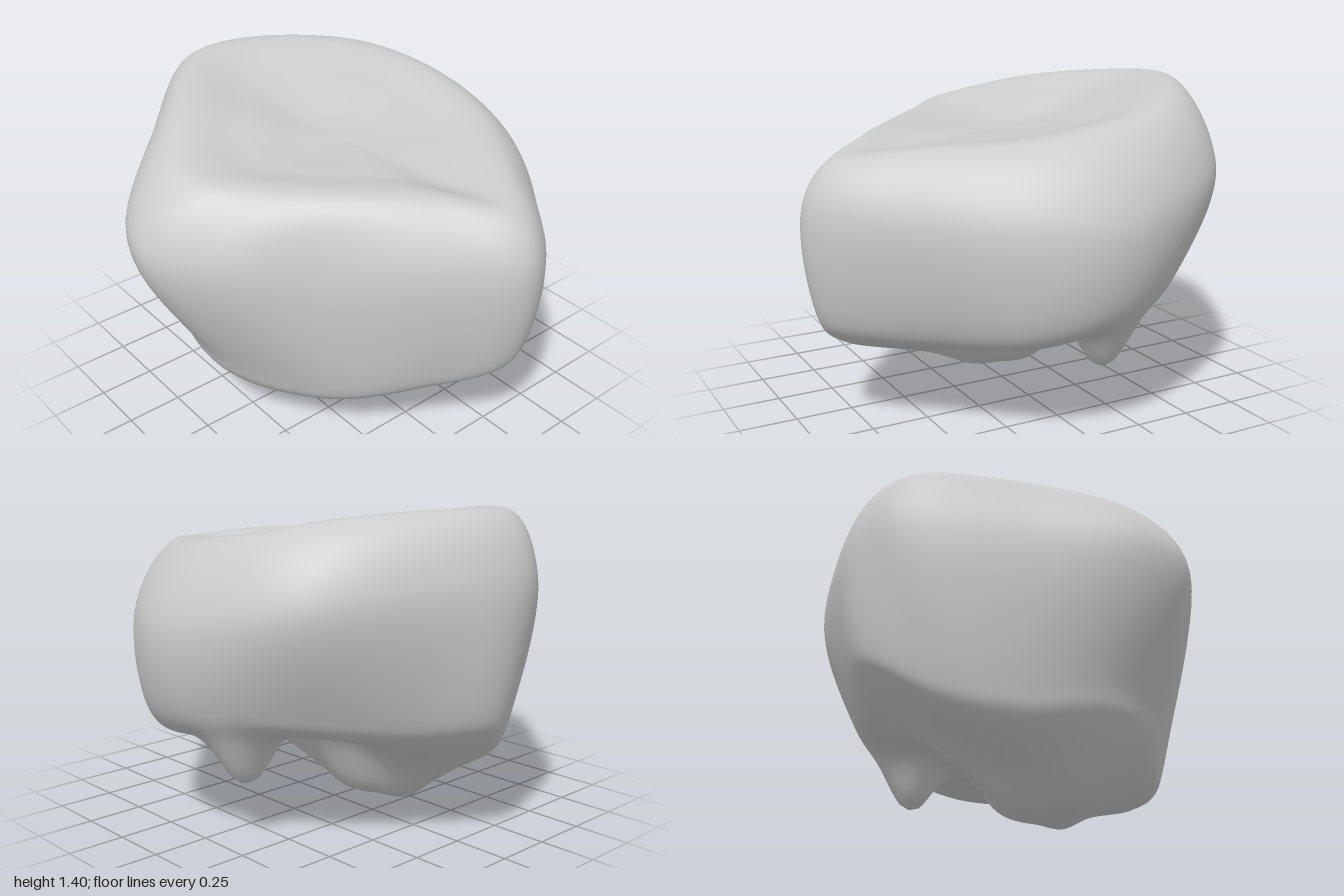
import * as THREE from 'three';

// Control rings as [x, y, z], running front -> left (+x) -> back -> right (-x)
const RIM = [
  [0.2, 1.15, 0.86], [0.45, 1.19, 0.58], [0.65, 1.22, 0.26], [0.72, 1.26, -0.03], [0.7, 1.3, -0.3],
  [0.56, 1.35, -0.52], [0.3, 1.38, -0.72], [0.02, 1.385, -0.84], [-0.19, 1.375, -0.82], [-0.5, 1.34, -0.48],
  [-0.71, 1.27, -0.2], [-0.72, 1.23, 0], [-0.57, 1.21, 0.17], [-0.32, 1.2, 0.41], [-0.04, 1.19, 0.65],
];
const WIDEST = [
  [0.2, 0.97, 0.99], [0.57, 0.95, 0.67], [0.85, 0.95, 0.3], [0.95, 0.95, 0], [0.89, 1, -0.33],
  [0.72, 1.05, -0.62], [0.36, 1.1, -0.85], [0.02, 1.13, -0.98], [-0.19, 1.12, -0.96], [-0.6, 1.07, -0.58],
  [-0.91, 1, -0.25], [-0.95, 0.95, -0.05], [-0.77, 0.93, 0.2], [-0.46, 0.93, 0.45], [-0.11, 0.95, 0.78],
];
const LOWER = [
  [0.2, 0.48, 0.935], [0.52, 0.49, 0.62], [0.82, 0.52, 0.28], [0.91, 0.58, -0.02], [0.83, 0.62, -0.29],
  [0.61, 0.61, -0.53], [0.3, 0.57, -0.76], [0, 0.56, -0.93], [-0.27, 0.43, -0.77], [-0.5, 0.38, -0.52],
  [-0.69, 0.42, -0.22], [-0.7, 0.39, 0.02], [-0.57, 0.33, 0.23], [-0.35, 0.32, 0.5], [-0.08, 0.39, 0.74],
];
// Height of the underside halfway between the lower edge and the lowest point
const BELLY_Y = [0.18, 0.31, 0.39, 0.42, 0.42, 0.38, 0.25, 0.17, 0.15, 0.11, 0.08, 0.06, 0.06, 0.1, 0.13];

const BOTTOM = new THREE.Vector3(-0.2, 0, -0.14);
const DISH = new THREE.Vector3(0.04, 1.19, 0.02);
const AROUND = 120, STEPS = 12;

function createStoneGeometry() {
  const vec = (p) => new THREE.Vector3(...p);
  const toward = (p, target, t, y) => p.clone().lerp(target, t).setY(y);

  const lower = LOWER.map(vec), rim = RIM.map(vec);
  const belly = lower.map((p, i) => toward(p, BOTTOM, 0.55, BELLY_Y[i]));
  const tip = belly.map((p) => toward(p, BOTTOM, 0.55, p.y * 0.2));
  const underEdge = lower.map((p) => toward(p, BOTTOM, 0.09, p.y - 0.1));
  // Rings easing down from the rim into the shallow dish on top
  const dish = (t) => rim.map((p) => toward(p, DISH, t,
    THREE.MathUtils.lerp(p.y, DISH.y, THREE.MathUtils.smoothstep(t, 0, 1))));

  const rings = [tip, belly, underEdge, lower, WIDEST.map(vec), rim, dish(0.4), dish(0.75)]
    .map((points) => new THREE.CatmullRomCurve3(points, true));
  const rows = (rings.length + 1) * STEPS;
  const edgeRow = 4 * STEPS;

  // Upright splines through the rings, from the lowest point to the dish centre
  const positions = new Array((rows - 1) * AROUND * 3);
  for (let j = 0; j < AROUND; j++) {
    const spine = new THREE.CatmullRomCurve3(
      [BOTTOM, ...rings.map((ring) => ring.getPoint(j / AROUND)), DISH]);
    for (let i = 1; i < rows; i++) {
      const p = spine.getPoint(i / rows);
      // Small blunt knob hanging from the underside
      if (i < edgeRow) {
        const d = Math.hypot((p.x - 0.63) / 0.14, (p.z + 0.14) / 0.12);
        p.y -= 0.22 * Math.exp(-(d ** 2.5));
      }
      p.toArray(positions, ((i - 1) * AROUND + j) * 3);
    }
  }
  const low = (rows - 1) * AROUND, high = low + 1;
  positions.push(...BOTTOM.toArray(), ...DISH.toArray());

  const index = [];
  for (let j = 0; j < AROUND; j++) {
    const k = (j + 1) % AROUND;
    index.push(low, k, j);
    for (let i = 0; i < rows - 2; i++) {
      const a = i * AROUND, b = a + AROUND;
      index.push(a + j, a + k, b + k, a + j, b + k, b + j);
    }
    const last = (rows - 2) * AROUND;
    index.push(last + j, last + k, high);
  }

  const geometry = new THREE.BufferGeometry();
  geometry.setAttribute('position', new THREE.Float32BufferAttribute(positions, 3));
  geometry.setIndex(index);
  geometry.computeVertexNormals();
  return geometry;
}

export function createModel() {
  const group = new THREE.Group();
  group.name = 'boulder';
  const stone = new THREE.Mesh(
    createStoneGeometry(),
    new THREE.MeshStandardMaterial({ color: 0xcccccc }));
  stone.name = 'stone';
  group.add(stone);
  return group;
}
